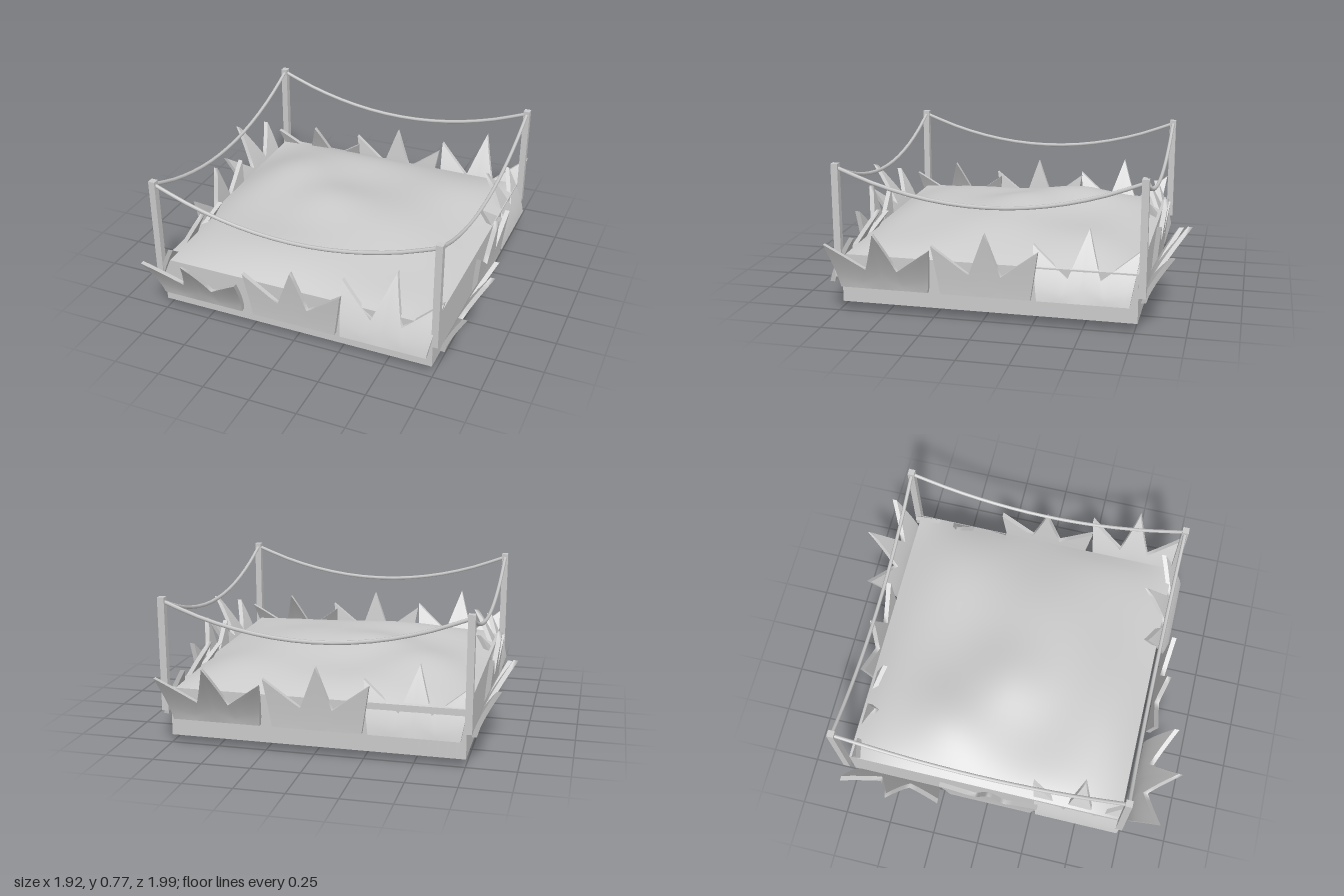
import * as THREE from 'three';

const grey = new THREE.MeshStandardMaterial({ color: 0xcccccc });

function add(parent, name, geometry) {
  const mesh = new THREE.Mesh(geometry, grey);
  mesh.name = name;
  parent.add(mesh);
  return mesh;
}

// Move every vertex by a rule, keeping the box's own edges sharp.
function deform(geometry, rule) {
  const pos = geometry.attributes.position;
  const v = new THREE.Vector3();
  for (let i = 0; i < pos.count; i++) {
    rule(v.fromBufferAttribute(pos, i));
    pos.setXYZ(i, v.x, v.y, v.z);
  }
  geometry.computeVertexNormals();
  return geometry;
}

// Square slab of earth: rolling mound on top, shallow belly below.
function groundGeometry() {
  const size = 1.495;
  const bump = (x, z, cx, cz, r) => Math.exp(-((x - cx) ** 2 + (z - cz) ** 2) / (r * r));
  return deform(new THREE.BoxGeometry(size, 0.25, size, 32, 1, 32), (v) => {
    const u = (2 * v.x) / size, w = (2 * v.z) / size;
    const edge = Math.max(0, (1 - u ** 4) * (1 - w ** 4));
    if (v.y > 0) {
      v.y += edge * (0.085
        + 0.045 * bump(v.x, v.z, -0.15, 0.0, 0.22)
        + 0.035 * bump(v.x, v.z, -0.45, -0.3, 0.22)
        + 0.012 * Math.sin(6 * v.x + 4 * v.z) + 0.008 * Math.cos(9 * v.z - 3 * v.x));
    } else {
      v.y -= edge * (0.033 + 0.012 * bump(v.x, v.z, -0.03, 0.03, 0.4)
        + 0.004 * Math.sin(7 * v.x + 5 * v.z));
    }
  });
}

// Grass tuft: a three-pointed crown that widens upward and curls by `lean`.
function tuftGeometry(lean) {
  const crown = [[-0.265, 0.25], [-0.08, 0.11], [0.005, 0.33], [0.08, 0.11], [0.265, 0.25]];
  return deform(new THREE.BoxGeometry(1, 1, 0.025, 16, 6, 1), (v) => {
    const s = (v.x + 0.5) * 4, i = Math.min(3, Math.floor(s)), f = s - i;
    const topX = THREE.MathUtils.lerp(crown[i][0], crown[i + 1][0], f);
    const topY = THREE.MathUtils.lerp(crown[i][1], crown[i + 1][1], f);
    const t = v.y + 0.5;
    const bottomX = v.x * 0.45;
    v.x = THREE.MathUtils.lerp(bottomX, topX, t);
    v.y = t * topY;
    v.z += lean * Math.pow(v.y / 0.33, 1.3);
  });
}

export function createModel() {
  const model = new THREE.Group();
  model.name = 'grassPlot';

  add(model, 'ground', groundGeometry()).position.set(-0.007, 0.175, -0.018);

  // Each side carries an outward, an upright and an inward tuft.
  const sides = [
    { name: 'front', out: 0.195, inward: 0.18, base: 0.788 },
    { name: 'left', out: 0.165, inward: 0.165, base: 0.785 },
    { name: 'back', out: 0.195, inward: 0.13, base: 0.788 },
    { name: 'right', out: 0.165, inward: 0.15, base: 0.785 },
  ];
  sides.forEach((side, i) => {
    const group = new THREE.Group();
    group.name = `${side.name}Grass`;
    group.rotation.y = (i * Math.PI) / 2;
    [['outwardTuft', -0.49, side.out], ['uprightTuft', 0.025, 0.035], ['inwardTuft', 0.505, -side.inward]]
      .forEach(([name, x, lean]) => add(group, name, tuftGeometry(lean)).position.set(x, 0.147, side.base));
    model.add(group);
  });

  // Corner posts.
  const corners = [[-0.767, 0.737], [0.757, 0.737], [0.757, -0.787], [-0.767, -0.787]];
  for (const [x, z] of corners) {
    add(model, 'cornerPost', new THREE.BoxGeometry(0.035, 0.58, 0.035)).position.set(x, 0.48, z);
  }

  // Sagging ropes from post to post.
  corners.forEach(([x0, z0], i) => {
    const [x1, z1] = corners[(i + 1) % 4];
    const points = [];
    for (let k = 0; k <= 8; k++) {
      const t = k / 8;
      points.push(new THREE.Vector3(
        THREE.MathUtils.lerp(x0, x1, t),
        0.588 + 0.162 * (2 * t - 1) ** 2,
        THREE.MathUtils.lerp(z0, z1, t)));
    }
    add(model, 'rope', new THREE.TubeGeometry(new THREE.CatmullRomCurve3(points), 16, 0.01, 6));
  });

  return model;
}
